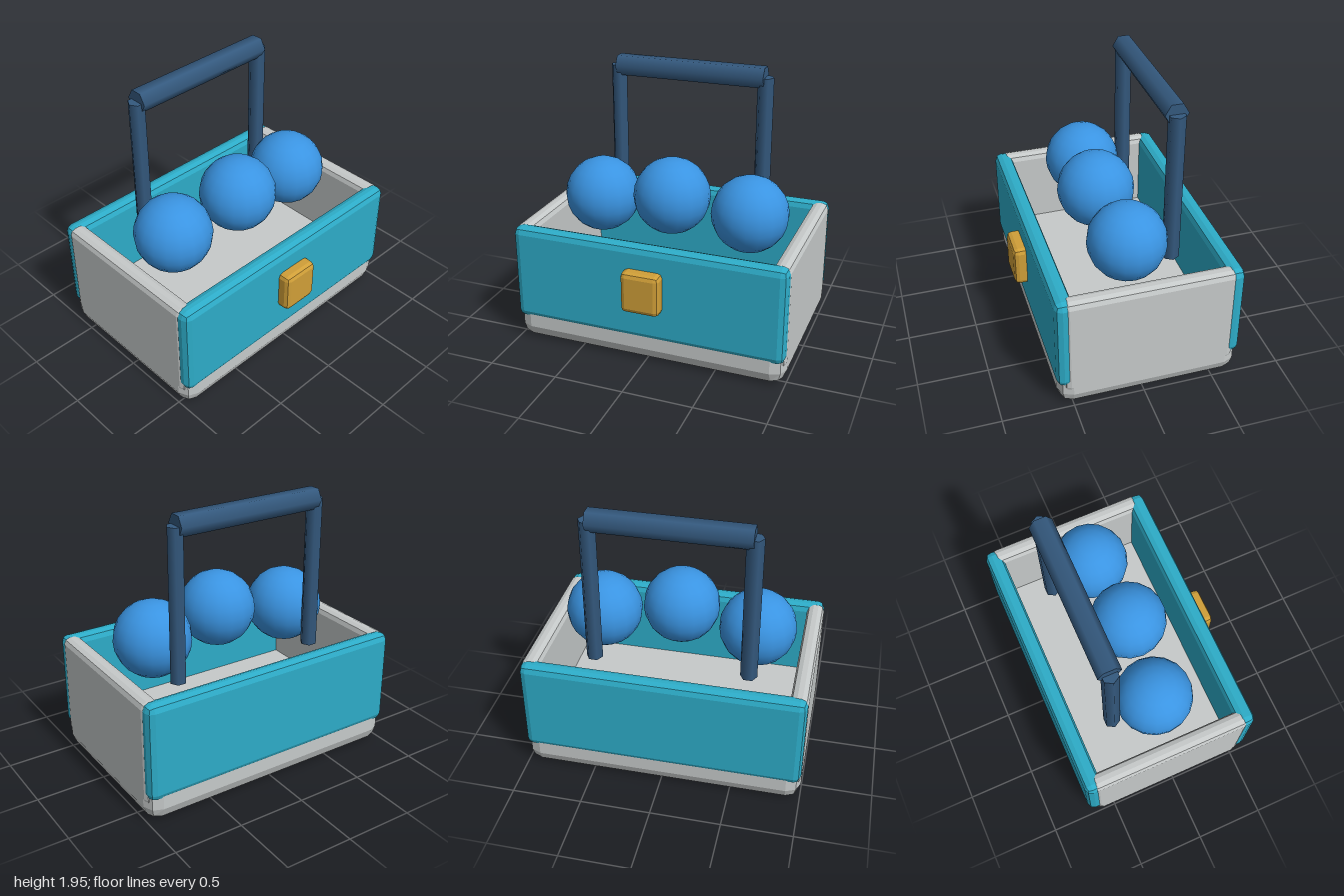
import * as THREE from 'three';
import { RoundedBoxGeometry } from 'three/addons/geometries/RoundedBoxGeometry.js';

export function createModel() {
  const group = new THREE.Group();

  const paint = (name, color) => {
    const m = new THREE.MeshStandardMaterial({ color });
    m.name = name;
    return m;
  };
  const grey = paint('lightGrey', 0xc6caca);
  const teal = paint('teal', 0x2dacc8);
  const gold = paint('gold', 0xd09f38);
  const blue = paint('ballBlue', 0x3a94e2);
  const navy = paint('handleNavy', 0x34597e);

  const add = (name, geometry, material, x, y, z) => {
    const mesh = new THREE.Mesh(geometry, material);
    mesh.name = name;
    mesh.position.set(x, y, z);
    group.add(mesh);
    return mesh;
  };

  // Box with faceted two-step bevels, given by its min and max corners
  const bevelBox = (name, material, [x0, y0, z0], [x1, y1, z1], radius) => {
    const g = new RoundedBoxGeometry(x1 - x0, y1 - y0, z1 - z0, 1, radius);
    g.computeVertexNormals();
    return add(name, g, material, (x0 + x1) / 2, (y0 + y1) / 2, (z0 + z1) / 2);
  };

  // Tray: base, end walls, front and back panels
  bevelBox('base', grey, [-1, 0, -0.69], [1, 0.3, 0.6], 0.1);
  bevelBox('leftWall', grey, [0.875, 0.12, -0.65], [1, 0.88, 0.56], 0.045);
  bevelBox('rightWall', grey, [-1, 0.12, -0.65], [-0.875, 0.88, 0.56], 0.045);
  bevelBox('frontPanel', teal, [-0.997, 0.175, 0.48], [0.997, 0.882, 0.61], 0.05);
  bevelBox('backPanel', teal, [-0.997, 0.175, -0.7], [0.997, 0.882, -0.575], 0.05);

  // Latch on the front panel
  bevelBox('latch', gold, [-0.14, 0.42, 0.58], [0.14, 0.72, 0.7], 0.035);

  // Three balls, the middle one raised and slightly forward
  const ball = new THREE.SphereGeometry(0.277, 18, 12);
  add('leftBall', ball, blue, 0.565, 0.98, 0);
  add('middleBall', ball, blue, 0, 1.06, 0.053);
  add('rightBall', ball, blue, -0.565, 0.98, 0);

  // Handle: two hexagonal posts and a crossbar
  const post = new THREE.CylinderGeometry(0.06, 0.06, 1.1, 6).rotateY(Math.PI / 2);
  add('leftHandlePost', post, navy, 0.556, 1.33, -0.322);
  add('rightHandlePost', post, navy, -0.556, 1.33, -0.322);
  const bar = new THREE.CylinderGeometry(0.082, 0.082, 1.11, 6).rotateZ(Math.PI / 2);
  add('handleBar', bar, navy, 0, 1.88, -0.322);

  return group;
}
